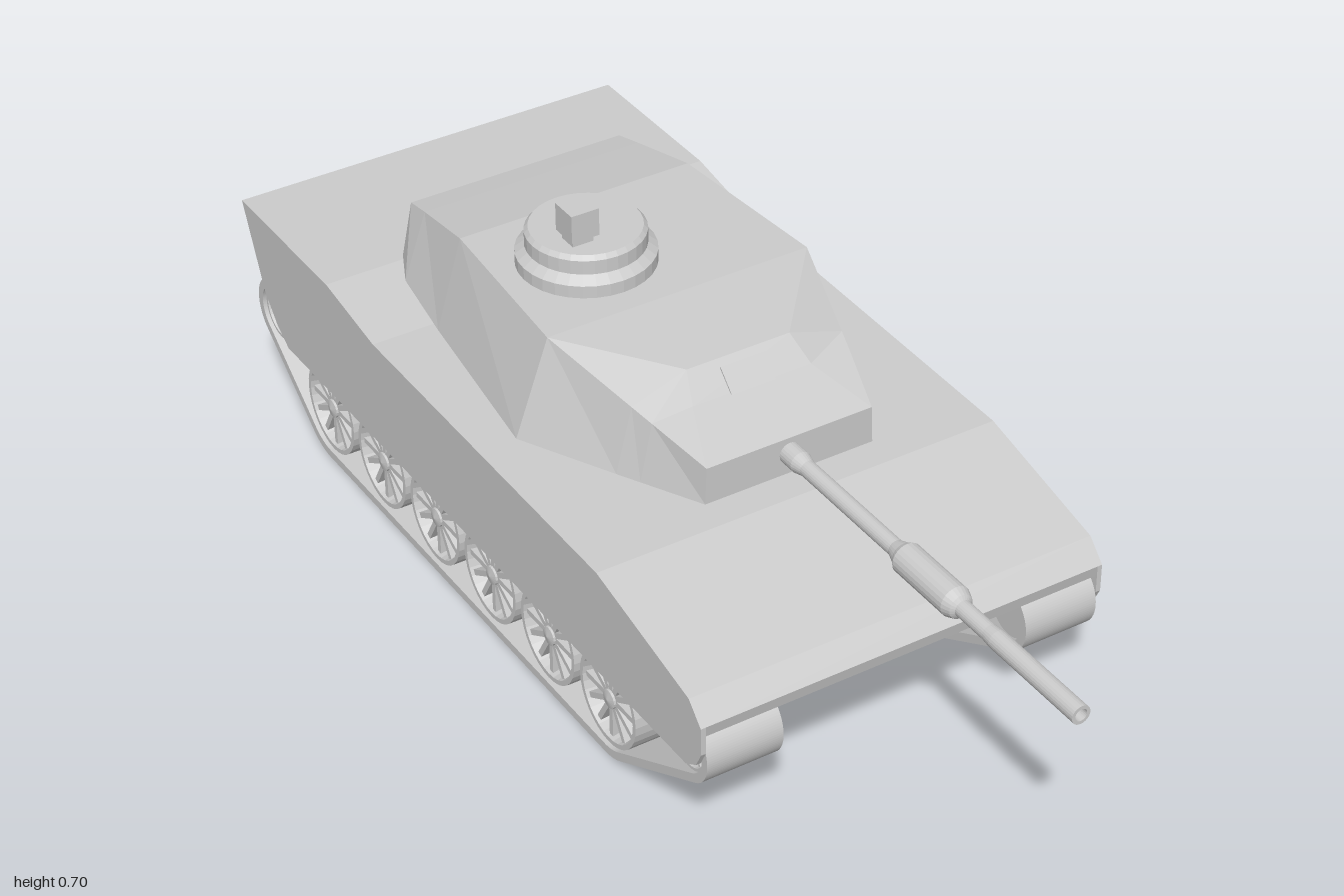
import * as THREE from 'three';

const grey = new THREE.MeshStandardMaterial({ color: 0xcccccc });
const flat = new THREE.MeshStandardMaterial({ color: 0xcccccc, flatShading: true });

function add(parent, name, geometry, material = flat) {
  const mesh = new THREE.Mesh(geometry, material);
  mesh.name = name;
  parent.add(mesh);
  return mesh;
}

const shapeOf = (points) => new THREE.Shape(points.map((p) => new THREE.Vector2(...p)));

// Extrudes a side profile drawn in (z, y) across the width from x0 to x1
function slab(shape, x0, x1) {
  const g = new THREE.ExtrudeGeometry(shape, { depth: x1 - x0, bevelEnabled: false, curveSegments: 20 });
  return g.rotateY(-Math.PI / 2).translate(x1, 0, 0);
}

// Solid of revolution around x, profile given as [radius, x]
function turnedX(profile, segments = 32) {
  const pts = profile.map(([r, h]) => new THREE.Vector2(r, h));
  return new THREE.LatheGeometry(pts, segments).rotateZ(-Math.PI / 2);
}

// Belt outline around circles [z, y, radius], listed counter-clockwise
function belt(path, circles, inset) {
  const n = circles.length;
  const angles = circles.map((c, i) => {
    const d = circles[(i + 1) % n];
    const dz = d[0] - c[0], dy = d[1] - c[1];
    return Math.atan2(dy, dz) - Math.acos((c[2] - d[2]) / Math.hypot(dz, dy));
  });
  circles.forEach(([z, y, r], i) => {
    path.absarc(z, y, r - inset, angles[(i + n - 1) % n], angles[i], false);
  });
  path.closePath();
  return path;
}

// Lofted solid from mirrored half sections { z, pts }, ordered from rear to front
function loft(sections) {
  const rings = sections.map(({ z, pts }) => [
    ...pts.map(([x, y]) => [x, y, z]),
    ...[...pts].reverse().map(([x, y]) => [-x, y, z]),
  ]);
  const out = [];
  const tri = (...v) => v.forEach((p) => out.push(...p));
  const n = rings[0].length;
  for (let i = 0; i < rings.length - 1; i++) {
    for (let k = 0; k < n; k++) {
      const l = (k + 1) % n;
      tri(rings[i][k], rings[i][l], rings[i + 1][l]);
      tri(rings[i][k], rings[i + 1][l], rings[i + 1][k]);
    }
  }
  const rear = rings[0], front = rings[rings.length - 1];
  for (let k = 1; k < n - 1; k++) {
    tri(front[0], front[k], front[k + 1]);
    tri(rear[0], rear[k + 1], rear[k]);
  }
  const g = new THREE.BufferGeometry();
  g.setAttribute('position', new THREE.Float32BufferAttribute(out, 3));
  g.computeVertexNormals();
  return g;
}

// Dished wheel with a rim, radial spokes on the outer (+x) face and a hub
function makeWheel(name, radius) {
  const wheel = new THREE.Group();
  wheel.name = name;
  const r = radius;
  add(wheel, 'wheelDisc', turnedX([
    [0, -0.06], [r, -0.06], [r, 0.06], [r * 0.9, 0.06], [r * 0.84, 0.035], [0, 0.035],
  ]));
  add(wheel, 'hub', turnedX([[r * 0.22, 0.03], [r * 0.2, 0.058], [0, 0.062]], 16));
  for (let i = 0; i < 12; i++) {
    const spoke = add(wheel, 'spoke', new THREE.BoxGeometry(0.022, r * 0.75, r * 0.12).translate(0.043, r * 0.51, 0));
    spoke.rotation.x = (i / 12) * Math.PI * 2;
  }
  return wheel;
}

function makeRunningGear(side) {
  const gear = new THREE.Group();
  gear.name = side > 0 ? 'leftRunningGear' : 'rightRunningGear';

  // Track band
  const loop = [[-0.724, 0.105, 0.105], [0.247, 0.105, 0.105], [0.497, 0.195, 0.066], [-0.915, 0.207, 0.068]];
  const band = belt(new THREE.Shape(), loop, 0);
  band.holes.push(belt(new THREE.Path(), loop, 0.016));
  add(gear, 'track', slab(band, -0.071, 0.071), grey).position.x = side * 0.3065;

  // Road wheels, front idler and rear sprocket
  const wheels = [[0.497, 0.195, 0.05, 'idler'], [-0.915, 0.207, 0.052, 'sprocket']];
  for (let i = 0; i < 6; i++) wheels.push([0.247 - i * 0.1942, 0.105, 0.088, 'roadWheel']);
  for (const [z, y, r, name] of wheels) {
    const wheel = makeWheel(name, r);
    wheel.position.set(side * 0.31, y, z);
    wheel.rotation.y = side > 0 ? 0 : Math.PI;
    gear.add(wheel);
  }
  return gear;
}

function makeHull() {
  const hull = new THREE.Group();
  hull.name = 'hull';
  const deck = [[-1, 0.41], [-0.67, 0.41], [-0.5, 0.381], [0.25, 0.375], [0.525, 0.31], [0.56, 0.273]];

  // Upper hull and thin side skirts
  add(hull, 'upperHull', slab(shapeOf([...deck, [0.555, 0.25], [-0.932, 0.25]]), -0.378, 0.378));
  const skirt = [...deck, [0.56, 0.22], [0.545, 0.19], [0.515, 0.172], [-0.85, 0.172], [-0.89, 0.2], [-0.932, 0.25]];
  for (const s of [-1, 1]) {
    add(hull, 'sideSkirt', slab(shapeOf(skirt), -0.0045, 0.0045)).position.x = s * 0.3825;
  }

  // Lower tub, with chamfered flanks
  add(hull, 'lowerHull', slab(shapeOf([[0.55, 0.252], [0.34, 0.117], [-0.82, 0.117], [-0.93, 0.252]]), -0.217, 0.217));
  const flank = shapeOf([[-0.235, 0.252], [-0.235, 0.172], [-0.218, 0.119], [0.218, 0.119], [0.235, 0.172], [0.235, 0.252]]);
  add(hull, 'tubFlanks', new THREE.ExtrudeGeometry(flank, { depth: 1.15, bevelEnabled: false }).translate(0, 0, -0.815));
  return hull;
}

function makeTurret() {
  const turret = new THREE.Group();
  turret.name = 'turret';

  add(turret, 'turretRing', new THREE.CylinderGeometry(0.235, 0.235, 0.04, 48).translate(0, 0.39, -0.222), grey);

  // Faceted body: bottom edge, shoulder and roof edge of each section
  add(turret, 'turretBody', loft([
    { z: -0.668, pts: [[0.235, 0.42], [0.213, 0.522], [0.213, 0.522]] },
    { z: -0.61, pts: [[0.262, 0.408], [0.217, 0.535], [0.217, 0.535]] },
    { z: -0.46, pts: [[0.28, 0.395], [0.229, 0.565], [0.229, 0.565]] },
    { z: -0.12, pts: [[0.32, 0.386], [0.255, 0.565], [0.255, 0.565]] },
    { z: 0.062, pts: [[0.236, 0.393], [0.205, 0.515], [0.1, 0.55]] },
    { z: 0.105, pts: [[0.216, 0.395], [0.193, 0.503], [0.115, 0.508]] },
    { z: 0.218, pts: [[0.163, 0.4], [0.16, 0.47], [0.16, 0.47]] },
  ]));

  // Gunner's sight window
  const sight = add(turret, 'sightWindow', new THREE.BoxGeometry(0.086, 0.055, 0.008));
  sight.position.set(0, 0.519, 0.092);
  sight.rotation.x = -0.78;

  // Stepped cupola
  const cupola = [[0.122, 0.56], [0.122, 0.588], [0.105, 0.601], [0.105, 0.627], [0.098, 0.635], [0, 0.635]];
  add(turret, 'cupola', new THREE.LatheGeometry(cupola.map((p) => new THREE.Vector2(...p)), 32), flat)
    .position.set(-0.079, 0, -0.29);

  // Periscope on its post
  add(turret, 'periscopePost', new THREE.BoxGeometry(0.04, 0.03, 0.035)).position.set(-0.115, 0.64, -0.255);
  add(turret, 'periscopeHead', new THREE.BoxGeometry(0.053, 0.052, 0.053)).position.set(-0.115, 0.675, -0.255);

  // Gun barrel with bore evacuator and open muzzle
  const barrel = [
    [0.02, 0.2], [0.02, 0.25], [0.015, 0.27], [0.015, 0.52], [0.022, 0.54], [0.028, 0.55], [0.028, 0.68],
    [0.022, 0.695], [0.015, 0.7], [0.015, 0.77], [0.017, 0.79], [0.017, 1], [0.011, 1], [0.011, 0.94], [0, 0.94],
  ];
  add(turret, 'gunBarrel', new THREE.LatheGeometry(barrel.map((p) => new THREE.Vector2(...p)), 24).rotateX(Math.PI / 2))
    .position.y = 0.44;
  return turret;
}

export function createModel() {
  const model = new THREE.Group();
  model.name = 'tank';
  model.add(makeHull(), makeTurret(), makeRunningGear(1), makeRunningGear(-1));
  return model;
}
